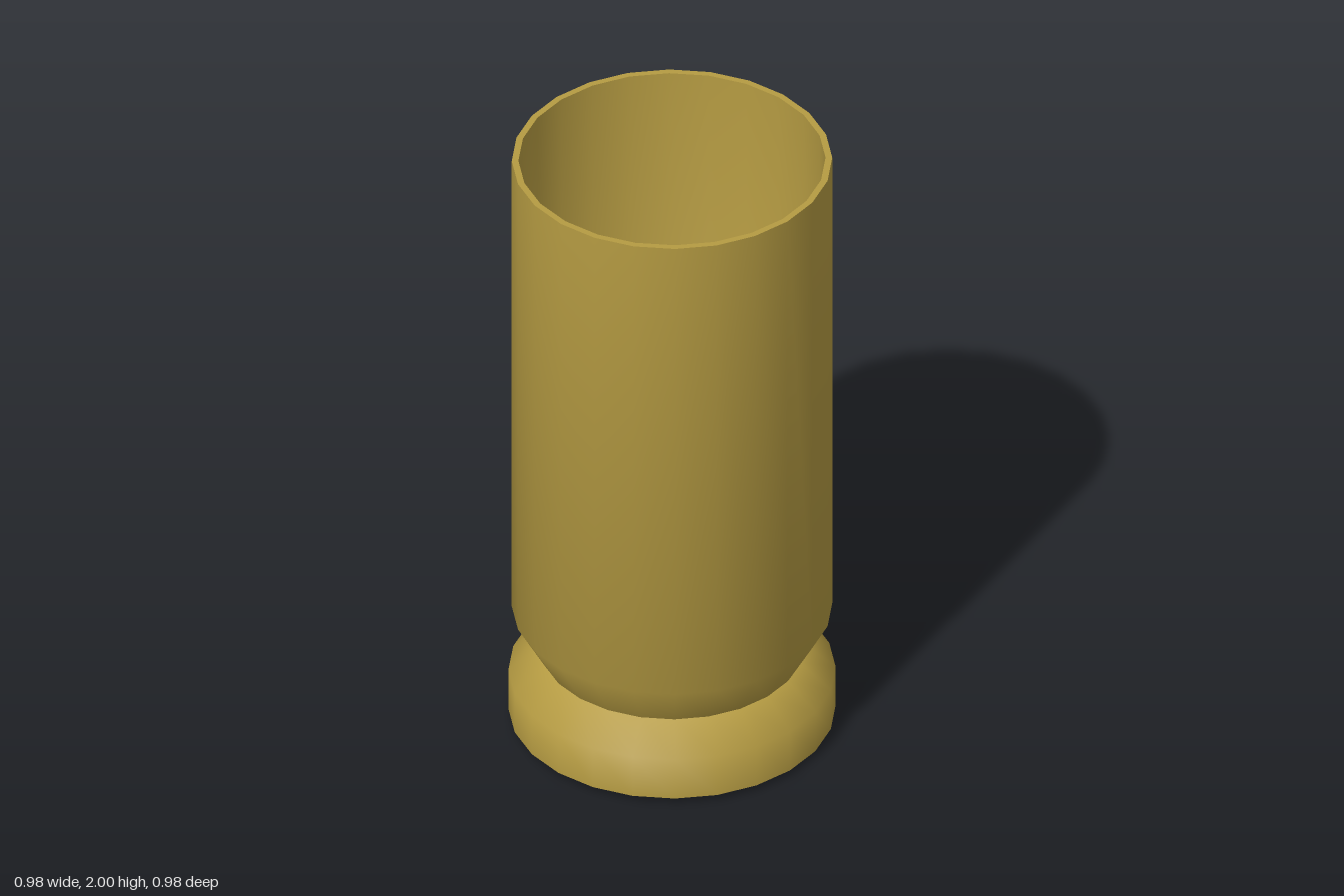
import * as THREE from 'three';
import { toCreasedNormals } from 'three/addons/utils/BufferGeometryUtils.js';

const SIDES = 24;
const brass = new THREE.MeshStandardMaterial({ color: 0xb59b42 });

// Turned part from [radius, height] pairs, smooth around and creased at sharp edges
function turned(name, profile) {
  const points = profile.map(([r, y]) => new THREE.Vector2(r, y));
  const geometry = toCreasedNormals(new THREE.LatheGeometry(points, SIDES), 0.96);
  const mesh = new THREE.Mesh(geometry, brass);
  mesh.name = name;
  return mesh;
}

export function createModel() {
  const group = new THREE.Group();
  group.name = 'hollowCasing';

  // Solid foot: slightly bevelled underside, straight rim, sloping shoulder
  group.add(turned('base', [
    [0, 0.005], [0.38, 0.005], [0.49, 0.02], [0.49, 0.16], [0.395, 0.245], [0, 0.245],
  ]));

  // Hollow body: tapered neck, straight wall, thin lip, then down the inside to the floor
  group.add(turned('body', [
    [0.395, 0.24], [0.48, 0.39], [0.48, 2], [0.46, 2], [0.46, 0.39], [0.393, 0.25], [0, 0.25],
  ]));

  // Thin flat underside
  const underside = new THREE.Mesh(new THREE.CylinderGeometry(0.38, 0.38, 0.005, SIDES), brass);
  underside.name = 'underside';
  underside.position.y = 0.0025;
  group.add(underside);

  return group;
}
